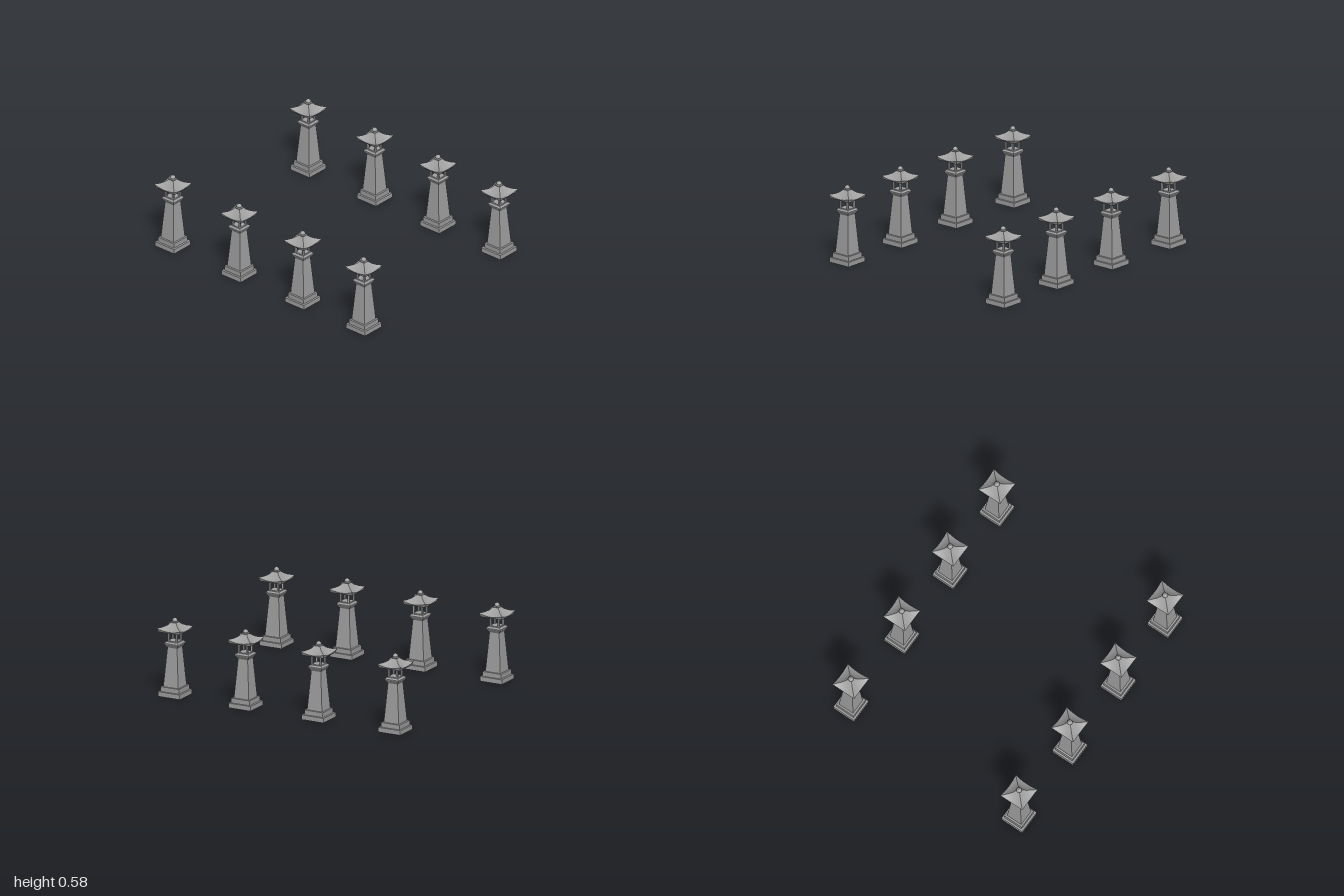
import * as THREE from 'three';

const stone = new THREE.MeshStandardMaterial({ color: 0xa0a0a0 });
stone.name = 'stone grey';

// Square frustum with flat faces, from half-width a at y0 to half-width b at y1
function frustum(a, y0, b, y1) {
  const g = new THREE.CylinderGeometry(b * Math.SQRT2, a * Math.SQRT2, y1 - y0, 4)
    .rotateY(Math.PI / 4).translate(0, (y0 + y1) / 2, 0).toNonIndexed();
  g.computeVertexNormals();
  return g;
}

function box(w, h, d, x, y, z) {
  return new THREE.BoxGeometry(w, h, d).translate(x, y, z);
}

// One side of the roof between two rings [half-width, mid height, corner lift, mid inset]
function roofBand(rings) {
  const n = 8, pos = [], idx = [];
  for (const [h, y, lift, inset] of rings) {
    for (let i = 0; i <= n; i++) {
      const u = (i / n) * 2 - 1;
      pos.push(u * h, y + lift * u * u, h - inset * (1 - u * u));
    }
  }
  for (let r = 0; r < rings.length - 1; r++) {
    for (let i = 0; i < n; i++) {
      const a = r * (n + 1) + i, b = a + n + 1;
      idx.push(a, a + 1, b + 1, a, b + 1, b);
    }
  }
  const g = new THREE.BufferGeometry();
  g.setAttribute('position', new THREE.Float32BufferAttribute(pos, 3));
  g.setIndex(idx);
  g.computeVertexNormals();
  return g;
}

function buildParts() {
  const parts = [];
  const add = (name, geometry) => parts.push([name, geometry]);

  // Plinth, shaft and flared cap
  add('lowerPlinth', frustum(0.09, 0, 0.09, 0.035));
  add('upperPlinth', frustum(0.075, 0.035, 0.075, 0.07));
  add('shaft', frustum(0.061, 0.07, 0.039, 0.362));
  add('capFlare', frustum(0.042, 0.36, 0.057, 0.386));
  add('capEdge', frustum(0.057, 0.386, 0.057, 0.391));
  add('capTop', frustum(0.057, 0.391, 0.046, 0.403));

  // Open light chamber
  add('chamberFloor', box(0.08, 0.007, 0.08, 0, 0.4045, 0));
  for (const x of [-1, 1]) {
    for (const z of [-1, 1]) {
      add('chamberPost', box(0.013, 0.066, 0.013, x * 0.0335, 0.439, z * 0.0335));
    }
  }
  add('chamberTop', box(0.08, 0.008, 0.08, 0, 0.475, 0));

  // Roof with upturned corners: underside, slanted eave and curved slope on each side
  const soffit = [0.036, 0.476, 0, 0], lip = [0.086, 0.478, 0, 0];
  const eave = [0.096, 0.488, 0.019, 0.005];
  const slope = [eave, [0.076, 0.496, 0.014, 0.003], [0.057, 0.508, 0.008, 0.001],
    [0.038, 0.523, 0.003, 0], [0.021, 0.542, 0, 0]];
  for (let k = 0; k < 4; k++) {
    const turn = (k * Math.PI) / 2;
    add('roofUnderside', roofBand([soffit, lip]).rotateY(turn));
    add('roofEave', roofBand([lip, eave]).rotateY(turn));
    add('roofSlope', roofBand(slope).rotateY(turn));
  }

  // Finial: square collar and pointed bud
  add('finialCollar', frustum(0.019, 0.536, 0.024, 0.547));
  add('finialCollarTop', frustum(0.024, 0.547, 0.016, 0.551));
  const bud = [[0.015, 0.549], [0.02, 0.554], [0.0195, 0.561], [0.014, 0.569], [0.007, 0.574], [0, 0.577]]
    .map(([x, y]) => new THREE.Vector2(x, y));
  add('finialBud', new THREE.LatheGeometry(bud, 16));
  return parts;
}

export function createModel() {
  const model = new THREE.Group();
  model.name = 'stoneLanterns';
  const parts = buildParts();

  // Two rows of four lanterns
  for (const x of [-0.733, 0.733]) {
    for (const z of [-0.904, -0.275, 0.325, 0.904]) {
      const lantern = new THREE.Group();
      lantern.name = 'lantern';
      for (const [name, geometry] of parts) {
        const mesh = new THREE.Mesh(geometry, stone);
        mesh.name = name;
        lantern.add(mesh);
      }
      lantern.position.set(x, 0, z);
      model.add(lantern);
    }
  }
  return model;
}
